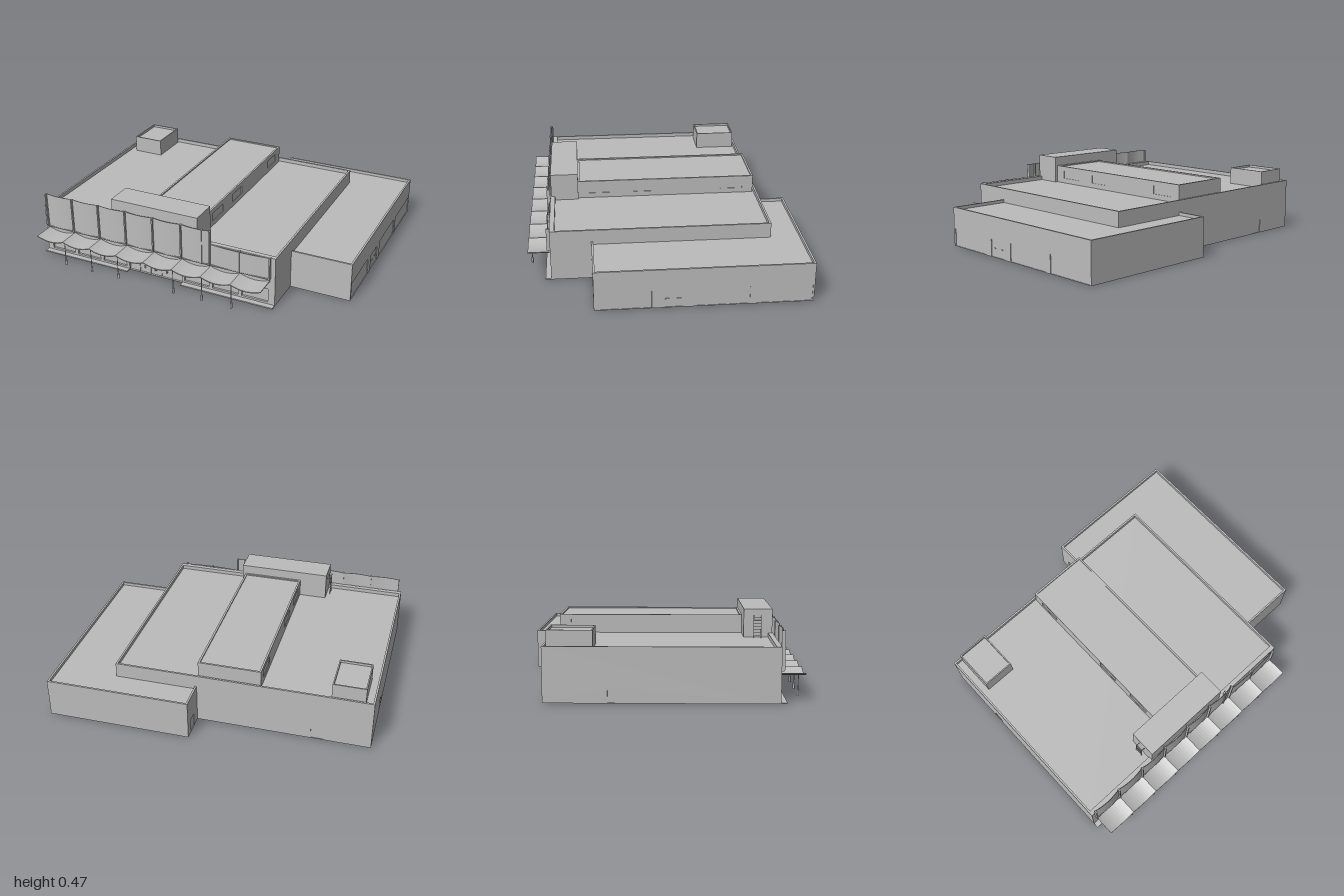
import * as THREE from 'three';

const T = 0.012; // wall thickness

export function createModel() {
  const root = new THREE.Group();
  root.name = 'storeBuilding';
  const grey = new THREE.MeshStandardMaterial({ color: 0xbcbcbc, side: THREE.DoubleSide });
  grey.name = 'plainGrey';

  const add = (name, geo) => {
    const m = new THREE.Mesh(geo, grey);
    m.name = name;
    root.add(m);
    return m;
  };
  const box = (name, x0, x1, y0, y1, z0, z1) => {
    const g = new THREE.BoxGeometry(x1 - x0, y1 - y0, z1 - z0);
    g.translate((x0 + x1) / 2, (y0 + y1) / 2, (z0 + z1) / 2);
    return add(name, g);
  };
  // Wall with rectangular openings [u0,u1,v0,v1], each closed by a recessed pane.
  // axis 'z': u is x, wall fills z = at..at+t. axis 'x': u is z, wall fills x = at-t..at.
  const wall = (name, axis, at, u0, u1, v0, v1, openings = [], t = T) => {
    const s = new THREE.Shape([[u0, v0], [u1, v0], [u1, v1], [u0, v1]].map(p => new THREE.Vector2(...p)));
    for (const [a, b, c, d] of openings) {
      s.holes.push(new THREE.Path([[a, c], [a, d], [b, d], [b, c]].map(p => new THREE.Vector2(...p))));
      if (axis === 'z') box(name + 'Pane', a, b, c, d, at + t / 2 - 0.002, at + t / 2 + 0.002);
      else box(name + 'Pane', at - t / 2 - 0.002, at - t / 2 + 0.002, c, d, a, b);
    }
    const g = new THREE.ExtrudeGeometry(s, { depth: t, bevelEnabled: false });
    if (axis === 'z') g.translate(0, 0, at);
    else g.rotateY(-Math.PI / 2).translate(at, 0, 0);
    return add(name, g);
  };
  // Open rim of four walls
  const rim = (name, x0, x1, y0, y1, z0, z1, t) => {
    box(name, x0, x1, y0, y1, z0, z0 + t);
    box(name, x0, x1, y0, y1, z1 - t, z1);
    box(name, x0, x0 + t, y0, y1, z0 + t, z1 - t);
    box(name, x1 - t, x1, y0, y1, z0 + t, z1 - t);
  };

  // Bay lines of the front facade
  const bay = i => -0.973 + i * 0.1945;

  // Main hall, hollow and open below
  const frontOpenings = [];
  for (let i = 0; i < 8; i++) {
    if (i === 3 || i === 4) continue;
    frontOpenings.push([bay(i) + 0.012, bay(i + 1) - 0.012, 0.02, 0.11]);
  }
  frontOpenings.push([-0.38, -0.004, 0.003, 0.11]);
  wall('frontWall', 'z', 0.67, -1, 0.615, 0, 0.325, frontOpenings, 0.03);
  wall('leftWallFront', 'x', 0.615, 0.45, 0.67, 0, 0.325);
  wall('leftWallUpper', 'x', 0.615, -0.65, 0.45, 0.23, 0.325);
  wall('rightWall', 'x', -1 + T, -0.65, 0.67, 0, 0.325, [[-0.28, -0.22, 0.003, 0.09]]);
  wall('backWall', 'z', -0.65, -1 + T, 0.09, 0, 0.325, [[-0.71, -0.63, 0.003, 0.09]]);
  wall('backWallUpper', 'z', -0.65, 0.09, 0.603, 0.23, 0.325);
  box('mainRoof', -0.99, 0.605, 0.292, 0.3, -0.64, 0.68);

  // Lower annex wrapping the back left corner
  wall('annexSideWall', 'x', 1, -0.84, 0.45, 0, 0.25, [
    [0.115, 0.435, 0.003, 0.115], [-0.075, 0.055, 0.003, 0.108],
    [-0.46, -0.135, 0.003, 0.115], [-0.83, -0.5, 0.003, 0.115]]);
  wall('annexFrontWall', 'z', 0.45 - T, 0.615, 1 - T, 0, 0.25);
  wall('annexBackWall', 'z', -0.84, 0.09, 1 - T, 0, 0.25);
  wall('annexEndWall', 'x', 0.09 + T, -0.84 + T, -0.65, 0, 0.25, [[-0.78, -0.72, 0.003, 0.09]]);
  box('annexRoof', 0.61, 0.99, 0.222, 0.23, -0.65, 0.44);
  box('annexRoofBack', 0.1, 0.99, 0.222, 0.23, -0.83, -0.65);
  for (const z of [-0.045, 0.025]) box('annexDoorHandle', 0.994, 1, 0.055, 0.06, z - 0.012, z + 0.012);

  // Raised clerestory with side windows
  const lights = [[0.3, 0.45], [0.015, 0.16], [-0.27, -0.125], [-0.56, -0.415]]
    .filter((_, i) => i !== 2).map(([a, b]) => [a, b, 0.332, 0.385]);
  wall('clerestoryLeftWall', 'x', 0.085, -0.63, 0.52, 0.3, 0.415, lights);
  wall('clerestoryRightWall', 'x', -0.31 + T, -0.63, 0.52, 0.3, 0.415, lights);
  wall('clerestoryBackWall', 'z', -0.63, -0.298, 0.073, 0.3, 0.415);
  wall('clerestoryFrontWall', 'z', 0.508, -0.298, 0.073, 0.3, 0.415);
  box('clerestoryRoof', -0.3, 0.075, 0.4, 0.407, -0.62, 0.51);

  // Block above the entrance, with its access ladder
  box('entranceBlock', -0.49, 0.105, 0.3, 0.475, 0.52, 0.695);
  for (const z of [0.58, 0.625]) box('ladderRail', -0.515, -0.511, 0.3, 0.44, z - 0.002, z + 0.002);
  for (let i = 0; i < 7; i++) box('ladderRung', -0.515, -0.512, 0.315 + i * 0.018, 0.318 + i * 0.018, 0.58, 0.625);
  for (const z of [0.58, 0.625]) box('ladderBracket', -0.515, -0.49, 0.42, 0.424, z - 0.002, z + 0.002);

  // Plant room on the roof
  rim('plantRoomWall', -0.945, -0.74, 0.3, 0.41, -0.63, -0.365, 0.008);
  box('plantRoomRoof', -0.94, -0.745, 0.388, 0.395, -0.625, -0.37);

  // Gently bowed facade screens, taller on the right of the model
  const screen = (x0, x1, top) => {
    const s = new THREE.Shape();
    s.moveTo(x0, -0.702);
    s.quadraticCurveTo((x0 + x1) / 2, -0.724, x1, -0.702);
    s.lineTo(x1, -0.706);
    s.quadraticCurveTo((x0 + x1) / 2, -0.728, x0, -0.706);
    const g = new THREE.ExtrudeGeometry(s, { depth: top - 0.19, bevelEnabled: false, curveSegments: 8 });
    g.rotateX(-Math.PI / 2).translate(0, 0.19, 0);
    add('facadeScreen', g);
  };
  for (let i = 0; i < 6; i++) screen(bay(i), bay(i + 1), 0.415);
  screen(bay(6), bay(8), 0.325);
  for (let i = 0; i < 9; i++) {
    if (i === 5) continue;
    box('facadeFin', bay(i) - 0.004, bay(i) + 0.004, 0.185, i < 7 ? 0.415 : 0.33, 0.698, 0.72);
  }
  for (const x of [bay(5), 0.14]) box('facadeFin', x - 0.004, x + 0.004, 0.185, 0.415, 0.698, 0.72);
  box('facadeRail', -0.975, 0.585, 0.183, 0.188, 0.7, 0.715);

  // Sagging canopies
  for (let i = 0; i < 8; i++) {
    const x0 = bay(i), x1 = bay(i + 1), xm = (x0 + x1) / 2;
    const s = new THREE.Shape();
    s.moveTo(x0, 0.168);
    s.quadraticCurveTo(xm, 0.126, x1, 0.168);
    s.lineTo(x1, 0.174);
    s.quadraticCurveTo(xm, 0.132, x0, 0.174);
    const g = new THREE.ExtrudeGeometry(s, { depth: 0.14, bevelEnabled: false, curveSegments: 10 });
    add('canopy', g.translate(0, 0, 0.7));
  }

  // Slim canopy posts on thicker feet
  for (const i of [1, 2, 3, 5, 6, 7]) {
    const post = new THREE.CylinderGeometry(0.0025, 0.0025, 0.168, 8);
    add('canopyPost', post.translate(bay(i), 0.084, 0.822));
    const foot = new THREE.CylinderGeometry(0.007, 0.007, 0.036, 10);
    add('canopyPostFoot', foot.translate(bay(i), 0.018, 0.822));
  }

  // Pavement strip, broken at the entrance
  box('frontStep', -1, -0.38, 0, 0.008, 0.7, 0.735);
  box('frontStep', 0, 0.615, 0, 0.008, 0.7, 0.735);

  // Entrance door frame and handles
  for (const x of [-0.31, -0.232, -0.155, -0.078]) box('doorMullion', x - 0.003, x + 0.003, 0.003, 0.11, 0.684, 0.692);
  for (const x of [-0.27, -0.2, -0.19, -0.115]) box('doorHandle', x - 0.003, x + 0.003, 0.035, 0.052, 0.686, 0.696);

  return root;
}
